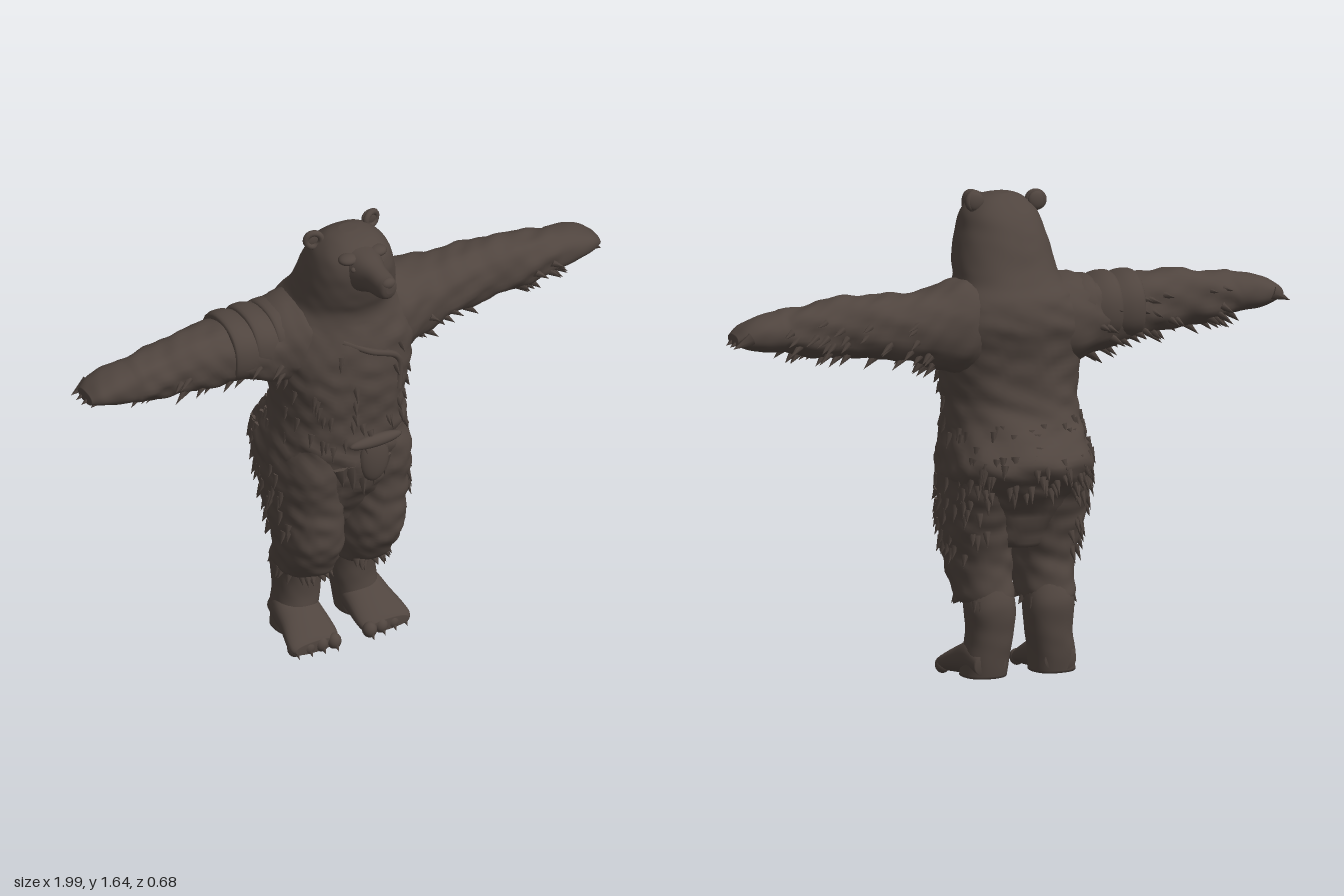
import * as THREE from 'three';
import { mergeGeometries } from 'three/addons/utils/BufferGeometryUtils.js';

const AXES = { x: ['y', 'z'], y: ['z', 'x'], z: ['x', 'y'] };

function seeded(seed) {
  return () => (seed = (seed * 16807) % 2147483647) / 2147483647;
}

// Smooth interpolation through rows of numbers
function spline(rows, u) {
  const f = Math.min(u, 0.99999) * (rows.length - 1), i = Math.floor(f), t = f - i;
  const row = k => rows[Math.max(0, Math.min(rows.length - 1, k))];
  const [a, b, c, d] = [row(i - 1), row(i), row(i + 1), row(i + 2)];
  return b.map((p1, k) => 0.5 * (2 * p1 + (c[k] - a[k]) * t
    + (2 * a[k] - 5 * p1 + 4 * c[k] - d[k]) * t * t
    + (3 * p1 - a[k] - 3 * c[k] + d[k]) * t * t * t));
}

// Clumpy fur relief
function relief(p) {
  return Math.sin(p.x * 31 + Math.sin(p.y * 23) * 2) * Math.sin(p.y * 37 + p.z * 19)
    + 0.6 * Math.sin(p.z * 61 + p.x * 43) * Math.sin(p.y * 71 + p.x * 29);
}

// Surface point of a loft whose rows are [position, loA, hiA, loB, hiB]
function surfacePoint(axis, rows, u, angle, fur) {
  const [t, a0, a1, b0, b1] = spline(rows, u), [A, B] = AXES[axis];
  const soft = v => Math.sign(v) * Math.pow(Math.abs(v), 0.88);
  const ca = soft(Math.cos(angle)), sb = soft(Math.sin(angle));
  const p = new THREE.Vector3();
  p[axis] = t;
  p[A] = (a0 + a1) / 2 + ca * (a1 - a0) / 2;
  p[B] = (b0 + b1) / 2 + sb * (b1 - b0) / 2;
  const k = fur(p) * relief(p);
  p[A] += ca * k;
  p[B] += sb * k;
  return p;
}

function loft(axis, rows, fur = () => 0, steps = 40, sides = 40) {
  const pos = [], idx = [], flip = rows[rows.length - 1][0] < rows[0][0];
  const tri = (a, b, c) => (flip ? idx.push(a, c, b) : idx.push(a, b, c));
  for (let i = 0; i <= steps; i++)
    for (let j = 0; j < sides; j++)
      pos.push(...surfacePoint(axis, rows, i / steps, j / sides * Math.PI * 2, fur).toArray());
  for (let i = 0; i < steps; i++)
    for (let j = 0; j < sides; j++) {
      const a = i * sides + j, b = i * sides + (j + 1) % sides;
      tri(a, b, a + sides);
      tri(b, b + sides, a + sides);
    }
  // end caps
  for (const end of [0, 1]) {
    const [t, a0, a1, b0, b1] = spline(rows, end), c = new THREE.Vector3(), [A, B] = AXES[axis];
    c[axis] = t; c[A] = (a0 + a1) / 2; c[B] = (b0 + b1) / 2;
    const n = pos.length / 3, o = end * steps * sides;
    pos.push(c.x, c.y, c.z);
    for (let j = 0; j < sides; j++) {
      const p = o + j, q = o + (j + 1) % sides;
      end ? tri(p, q, n) : tri(q, p, n);
    }
  }
  const g = new THREE.BufferGeometry();
  g.setAttribute('position', new THREE.Float32BufferAttribute(pos, 3));
  g.setIndex(idx);
  g.computeVertexNormals();
  return g;
}

// Cone between two points, optionally flattened
function spike(from, to, radius, flat = 1) {
  const dir = to.clone().sub(from), len = dir.length();
  const g = new THREE.ConeGeometry(radius, len, 6).translate(0, len / 2, 0).scale(1, 1, flat);
  g.applyQuaternion(new THREE.Quaternion().setFromUnitVectors(new THREE.Vector3(0, 1, 0), dir.normalize()));
  return g.translate(from.x, from.y, from.z);
}

// Locks of fur scattered on a loft, hanging along "lie" and lifting off the surface
function tufts(axis, rows, count, u0, u1, seed, lie, angle0 = 0, angle1 = Math.PI * 2) {
  const rnd = seeded(seed), none = () => 0, list = [];
  for (let i = 0; i < count; i++) {
    const u = u0 + (u1 - u0) * rnd(), a = angle0 + (angle1 - angle0) * rnd();
    const p = surfacePoint(axis, rows, u, a, none), r = spline(rows, u), [A, B] = AXES[axis];
    const out = new THREE.Vector3();
    out[A] = p[A] - (r[1] + r[2]) / 2;
    out[B] = p[B] - (r[3] + r[4]) / 2;
    out.normalize();
    const len = 0.035 + 0.025 * rnd();
    const tip = p.clone().addScaledVector(out, 0.012).addScaledVector(lie, len);
    list.push(spike(p.addScaledVector(out, -0.008), tip, 0.016, 0.8));
  }
  return mergeGeometries(list);
}

export function createModel() {
  const model = new THREE.Group();
  const fur = new THREE.MeshStandardMaterial({ color: 0x50453f });
  fur.name = 'dark brown fur';
  const V = (x, y, z) => new THREE.Vector3(x, y, z);
  const add = (name, geo) => {
    const m = new THREE.Mesh(geo, fur);
    m.name = name;
    model.add(m);
    return m;
  };
  const blob = (name, x, y, z, rx, ry, rz) =>
    add(name, new THREE.SphereGeometry(1, 20, 14).scale(rx, ry, rz).translate(x, y, z));
  const mid = -0.018, down = V(0, -1, 0);

  // Torso, neck and skull: [y, back, front, right, left]
  const body = [
    [0.46, -0.16, 0.03, -0.1, 0.07], [0.58, -0.2, 0.11, -0.24, 0.2], [0.68, -0.275, 0.155, -0.265, 0.23],
    [0.76, -0.328, 0.17, -0.268, 0.235], [0.85, -0.265, 0.175, -0.253, 0.218], [0.93, -0.22, 0.175, -0.243, 0.208],
    [1.03, -0.21, 0.185, -0.25, 0.22], [1.13, -0.217, 0.183, -0.265, 0.24], [1.22, -0.235, 0.172, -0.27, 0.25],
    [1.3, -0.22, 0.15, -0.23, 0.21], [1.35, -0.185, 0.15, -0.19, 0.17], [1.4, -0.155, 0.17, -0.175, 0.163],
    [1.46, -0.13, 0.187, -0.165, 0.15], [1.52, -0.1, 0.195, -0.15, 0.13], [1.57, -0.065, 0.18, -0.13, 0.11],
    [1.61, -0.015, 0.13, -0.09, 0.07], [1.627, 0.025, 0.075, -0.04, 0.015]];
  add('body', loft('y', body, p => (p.y > 1.3 ? 0.001 : p.y < 0.86 ? 0.008 : 0.005), 90, 56));
  add('rumpFur', tufts('y', body, 75, 0.12, 0.29, 11, down, 1.9, 4.4));
  add('bellyFur', tufts('y', body, 50, 0.24, 0.5, 29, down, -1.7, 1.7));

  // Muzzle, nose, jaw and brow
  add('muzzle', loft('z', [
    [0.1, -0.11, 0.075, 1.43, 1.605], [0.18, -0.08, 0.048, 1.452, 1.598], [0.24, -0.06, 0.028, 1.478, 1.585],
    [0.3, -0.054, 0.022, 1.49, 1.578], [0.328, -0.045, 0.013, 1.502, 1.576], [0.337, -0.03, -0.002, 1.525, 1.56]],
    undefined, 24, 28));
  blob('nose', -0.016, 1.558, 0.322, 0.026, 0.02, 0.018);
  for (const s of [-1, 1]) {
    blob('brow', mid + s * 0.055, 1.578, 0.155, 0.035, 0.018, 0.03);
    blob('eye', mid + s * 0.052, 1.553, 0.188, 0.011, 0.01, 0.01);
    // Cupped ear: rim with a back plate
    const ex = mid + s * 0.11, ey = s < 0 ? 1.597 : 1.61;
    const rim = add('earRim', new THREE.TorusGeometry(0.026, 0.011, 10, 24));
    rim.position.set(ex, ey, 0.022);
    rim.rotation.y = s * 0.35;
    blob('earBack', ex, ey, 0.012, 0.031, 0.031, 0.013);
  }

  for (const s of [-1, 1]) {
    const side = s > 0 ? 'left' : 'right';

    // Arm: [x, bottom, top, back, front]
    const arm = [
      [0.05, 1.1, 1.35, -0.19, 0.11], [0.17, 1.05, 1.362, -0.195, 0.12], [0.27, 1.075, 1.342, -0.18, 0.09],
      [0.38, 1.108, 1.328, -0.16, 0.07], [0.5, 1.125, 1.337, -0.138, 0.062], [0.6, 1.135, 1.332, -0.122, 0.058],
      [0.7, 1.145, 1.32, -0.112, 0.058], [0.8, 1.165, 1.305, -0.107, 0.052], [0.88, 1.178, 1.292, -0.107, 0.048],
      [0.94, 1.193, 1.268, -0.095, 0.037], [0.975, 1.205, 1.243, -0.075, 0.015]]
      .map(([x, ...r]) => [s * x, ...r]);
    add(side + 'Arm', loft('x', arm, p => (Math.abs(p.x) > 0.8 ? 0.002 : 0.006), 70, 36));
    add(side + 'ArmFur', tufts('x', arm, 55, 0.2, 0.7, 40 + s, V(s * 0.8, -0.4, 0), 1.6, 5.2));
    // Fingers with claws
    add(side + 'Claws', mergeGeometries([-0.085, -0.052, -0.018, 0.014].map((z, i) =>
      spike(V(s * 0.93, 1.235, z), V(s * (i === 3 ? 0.975 : 0.995), 1.203, z), 0.024))));

    // Thigh: [y, back, front, inner, outer], placed either side of the middle
    const place = rows => rows.map(([y, b, f, i, o]) =>
      [y, b, f, Math.min(mid + s * i, mid + s * o), Math.max(mid + s * i, mid + s * o)]);
    const thigh = place([
      [0.27, -0.175, 0.035, 0.018, 0.19], [0.3, -0.175, 0.065, 0.012, 0.205], [0.4, -0.158, 0.12, 0.006, 0.22],
      [0.5, -0.175, 0.13, 0.003, 0.238], [0.6, -0.205, 0.133, 0, 0.248], [0.72, -0.25, 0.155, 0, 0.25],
      [0.84, -0.2, 0.14, 0.02, 0.215]]);
    add(side + 'Thigh', loft('y', thigh, () => 0.005, 50, 36));
    add(side + 'KneeFur', tufts('y', thigh, 26, 0.03, 0.12, 60 + s, V(0, -0.6, 0)));
    add(side + 'ThighFur', tufts('y', thigh, 35, 0.4, 0.85, 80 + s, down,
      s > 0 ? 1 : 3.3, s > 0 ? 3 : 5.3));

    // Shin
    add(side + 'Shin', loft('y', place([
      [0.025, -0.168, -0.01, 0.045, 0.2], [0.1, -0.178, -0.018, 0.038, 0.192], [0.18, -0.183, -0.022, 0.026, 0.183],
      [0.27, -0.188, -0.01, 0.02, 0.19], [0.36, -0.15, 0.04, 0.035, 0.17]]), () => 0.001, 24, 32));

    // Foot: [z, inner, outer, bottom, top]
    add(side + 'Foot', loft('z', [
      [-0.165, 0.07, 0.18, 0.032, 0.11], [-0.1, 0.048, 0.2, 0.022, 0.155], [-0.02, 0.042, 0.212, 0.015, 0.125],
      [0.04, 0.04, 0.226, 0.009, 0.092], [0.075, 0.046, 0.228, 0.007, 0.07], [0.09, 0.06, 0.215, 0.014, 0.055]]
      .map(([z, i, o, b, t]) => [z, Math.min(mid + s * i, mid + s * o), Math.max(mid + s * i, mid + s * o), b, t]),
      undefined, 24, 32));
    for (let i = 0; i < 4; i++) {
      const x = mid + s * (0.068 + i * 0.046), z = 0.084 - i * 0.007;
      blob(side + 'Toe', x, 0.033, z, 0.025, 0.028, 0.026);
      add(side + 'ToeClaw', spike(V(x, 0.03, z + 0.012), V(x, 0.008, z + 0.034), 0.011));
    }
  }

  // Overlapping folds on the right shoulder
  for (const [x, g] of [[-0.26, 0.01], [-0.34, 0.013], [-0.42, 0.012]])
    add('shoulderFold', loft('x', [
      [x + 0.07, 1.13, 1.33, -0.165, 0.07], [x + 0.02, 1.12, 1.337 + g, -0.165 - g, 0.078],
      [x - 0.025, 1.125, 1.335 + g, -0.157 - g, 0.073], [x - 0.028, 1.14, 1.32, -0.14, 0.06]], undefined, 12, 32));

  // Chest fold
  add('chestFold', new THREE.TubeGeometry(new THREE.CatmullRomCurve3([
    V(-0.09, 1.25, 0.147), V(0.0, 1.2, 0.173), V(0.11, 1.14, 0.16), V(0.125, 1.08, 0.153), V(0.12, 1.01, 0.155)]),
    30, 0.012, 8));

  // Matted clump at the waist with hanging locks
  blob('waistClump', 0.02, 0.845, 0.178, 0.1, 0.022, 0.022);
  blob('waistLock', 0.02, 0.77, 0.165, 0.055, 0.09, 0.025);
  add('hangingLocks', mergeGeometries([-0.1, -0.06, -0.02, 0.02, 0.06].map((x, i) =>
    spike(V(x, 0.76, 0.155), V(x + 0.008, 0.62 + 0.03 * Math.abs(i - 2), 0.155), 0.032, 0.6))));
  return model;
}
